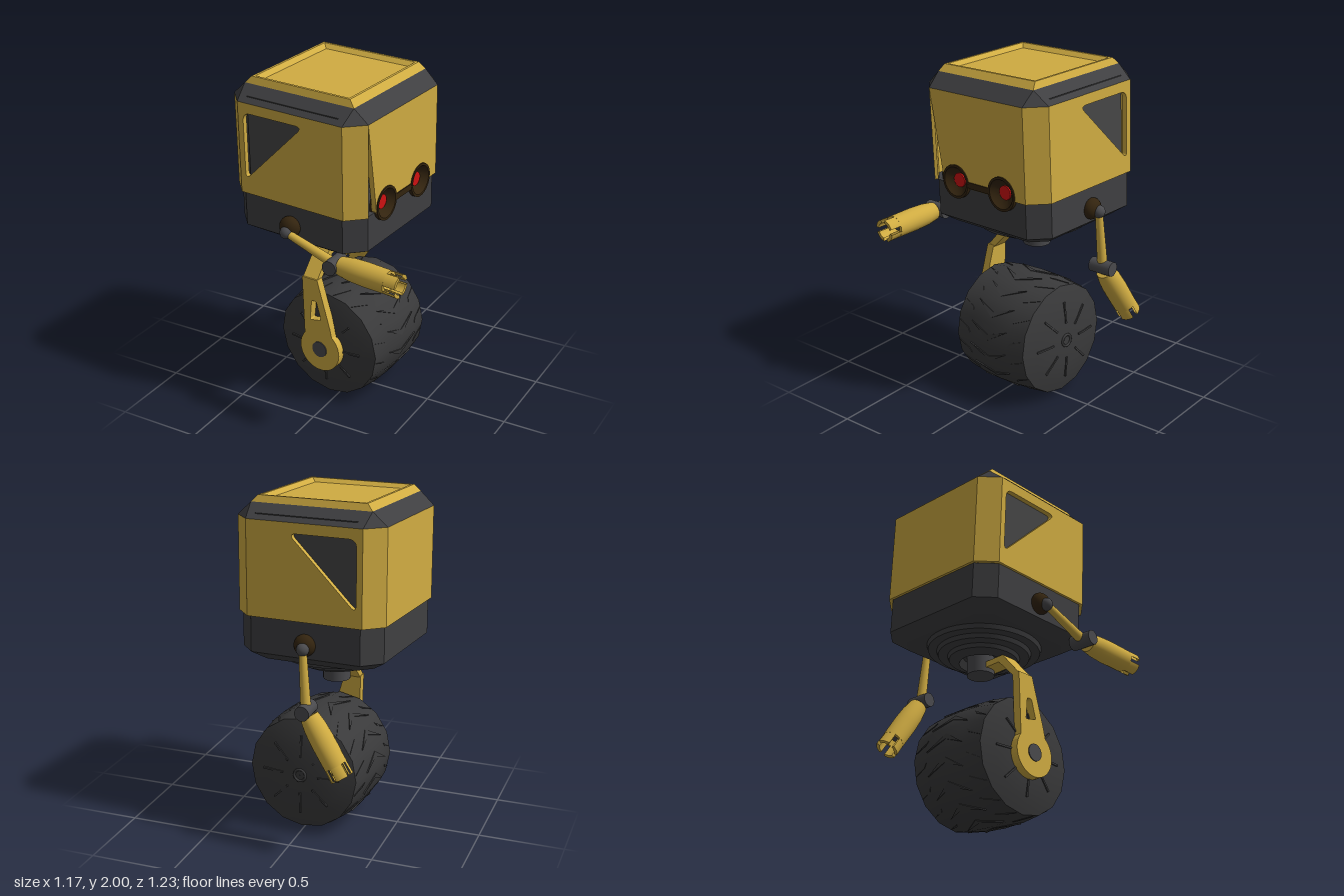
import * as THREE from 'three';
import { toCreasedNormals } from 'three/addons/utils/BufferGeometryUtils.js';

const mat = (name, color, side = THREE.FrontSide) => {
  const m = new THREE.MeshStandardMaterial({ color, side });
  m.name = name;
  return m;
};
const yellow = mat('yellow paint', 0xd0ac42, THREE.DoubleSide);
const dark = mat('dark panel', 0x3f3f41);
const tyre = mat('tyre rubber', 0x3a3a3b);
const steel = mat('grey joint', 0x4a4a4d);
const glass = mat('window grey', 0x464646);
const brown = mat('dark brown', 0x33240f);
const red = mat('red lens', 0xd01212);

function add(parent, name, geometry, material, x = 0, y = 0, z = 0) {
  const m = new THREE.Mesh(geometry, material);
  m.name = name;
  m.position.set(x, y, z);
  parent.add(m);
  return m;
}
const v2 = (list) => list.map(([x, y]) => new THREE.Vector2(x, y));
const lathe = (pts, seg = 32, start = 0, len = Math.PI * 2) =>
  toCreasedNormals(new THREE.LatheGeometry(v2(pts), seg, start, len), 0.5);
const extrude = (shape, depth) =>
  new THREE.ExtrudeGeometry(shape, { depth, bevelEnabled: false, curveSegments: 16 });

// Skin over chamfered rectangles, each [y, halfX, halfZ, chamfer], from bottom to top
function loft(sections) {
  const rings = sections.map(([y, a, b, c]) => [
    [a, c - b], [a, b - c], [a - c, b], [c - a, b], [-a, b - c], [-a, c - b], [c - a, -b], [a - c, -b],
  ].map(([x, z]) => [x, y, z]));
  const pos = [];
  for (let r = 0; r + 1 < rings.length; r++) {
    for (let i = 0; i < 8; i++) {
      const j = (i + 1) % 8, lo = rings[r], hi = rings[r + 1];
      pos.push(...lo[i], ...hi[i], ...lo[j], ...lo[j], ...hi[i], ...hi[j]);
    }
  }
  const g = new THREE.BufferGeometry();
  g.setAttribute('position', new THREE.Float32BufferAttribute(pos, 3));
  g.computeVertexNormals();
  return g;
}

// Closed path with rounded corners
function roundedPath(pts, r) {
  const p = v2(pts), path = new THREE.Path();
  p.forEach((c, i) => {
    const toward = (q) => c.clone().add(q.clone().sub(c).setLength(r));
    const a = toward(p[(i + p.length - 1) % p.length]), b = toward(p[(i + 1) % p.length]);
    if (i) path.lineTo(a.x, a.y); else path.moveTo(a.x, a.y);
    path.quadraticCurveTo(c.x, c.y, b.x, b.y);
  });
  path.closePath();
  return path;
}

const SEAM = 1.325, EYE_Y = 1.35, EYE_Z = 0.178, EYE_R = 0.1;

// Wall panel outline; eye notches are cut in the bottom or the top edge
function wallShape(w, y0, y1, notch) {
  const s = new THREE.Shape(), al = Math.asin((EYE_Y - SEAM) / EYE_R);
  s.moveTo(-w, y0);
  if (notch === 'bottom') for (const c of [-EYE_Z, EYE_Z]) s.absarc(c, EYE_Y, EYE_R, Math.PI + al, -al, true);
  s.lineTo(w, y0);
  s.lineTo(w, y1);
  if (notch === 'top') for (const c of [EYE_Z, -EYE_Z]) s.absarc(c, EYE_Y, EYE_R, -al, al - Math.PI, true);
  s.lineTo(-w, y1);
  s.closePath();
  return s;
}

// Four wall panels and four chamfered corners
function shell(parent, name, material, hx, hz, y0, y1, notch, windows) {
  const c = 0.1, t = 0.03;
  for (let k = 0; k < 4; k++) {
    const alongX = k % 2 === 0;
    const shape = wallShape((alongX ? hx : hz) - c, y0, y1, k === 1 ? notch : null);
    if (windows && alongX) {
      const s = k === 0 ? 1 : -1;
      shape.holes.push(roundedPath([[-0.31 * s, 1.81], [0.09 * s, 1.81], [-0.31 * s, 1.41]], 0.05));
    }
    const g = extrude(shape, t).translate(0, 0, (alongX ? hz : hx) - t);
    add(parent, name + 'Wall', g, material).rotation.y = k * Math.PI / 2;
  }
  for (const sx of [-1, 1]) for (const sz of [-1, 1]) {
    const g = new THREE.BoxGeometry(c * Math.SQRT2, y1 - y0, 0.02);
    add(parent, name + 'Corner', g, material, sx * (hx - c / 2 - 0.007), (y0 + y1) / 2, sz * (hz - c / 2 - 0.007))
      .rotation.y = sx * sz * Math.PI / 4 + (sz < 0 ? Math.PI : 0);
  }
}

function makeBody() {
  const tilt = new THREE.Group(), body = new THREE.Group();
  tilt.name = 'body';
  tilt.position.set(-0.11, 1.35, 0.005);
  tilt.rotation.set(0.035, -0.08, -0.015, 'YXZ');
  body.position.y = -1.35;
  tilt.add(body);
  shell(body, 'upper', yellow, 0.445, 0.455, SEAM, 1.87, 'bottom', true);
  shell(body, 'lower', dark, 0.43, 0.44, 1.115, SEAM, 'top', false);
  add(body, 'windowCore', loft([[1.11, 0.4, 0.425, 0.1], [1.9, 0.4, 0.425, 0.1]]), glass);
  add(body, 'upperLip', loft([[SEAM, 0.41, 0.42, 0.1], [SEAM, 0.4, 0.41, 0.1]]), dark);
  add(body, 'underside', loft([[1.06, 0, 0, 0], [1.06, 0.35, 0.36, 0.08], [1.115, 0.43, 0.44, 0.1]]), dark);
  add(body, 'roofBand', loft([[1.87, 0.445, 0.455, 0.1], [1.947, 0.36, 0.362, 0]]), dark);
  // Roof rim and its shallow tray
  add(body, 'roofTray', loft([[1.947, 0.36, 0.362, 0], [1.985, 0.325, 0.345, 0], [1.985, 0.31, 0.33, 0],
    [1.962, 0.28, 0.302, 0], [1.962, 0, 0, 0]]), yellow);
  // Stepped turntable underneath
  add(body, 'turntable', lathe([[0.001, 1.0], [0.12, 1.0], [0.14, 0.955], [0.2, 0.975], [0.21, 0.998],
    [0.265, 1.003], [0.275, 1.028], [0.325, 1.033], [0.335, 1.065]], 40), dark);
  // Dished eyes joined by a bar
  for (const s of [-1, 1]) {
    const eye = new THREE.Group();
    eye.name = 'eye';
    eye.position.set(0.4, EYE_Y, s * EYE_Z);
    eye.rotation.z = -Math.PI / 2;
    add(eye, 'eyeSocket', lathe([[0.1, -0.01], [0.1, 0.052], [0.086, 0.052], [0.07, 0.028], [0.045, 0.012], [0.001, 0.012]]), brown);
    add(eye, 'eyeLens', new THREE.CylinderGeometry(0.042, 0.042, 0.008, 28), red, 0, 0.016, 0);
    body.add(eye);
  }
  add(body, 'eyeBar', new THREE.BoxGeometry(0.03, 0.036, 0.18), brown, 0.436, EYE_Y - 0.002, 0);
  return tilt;
}

function makeWheel() {
  const wheel = new THREE.Group();
  wheel.name = 'wheel';
  wheel.position.set(-0.03, 0.361, -0.03);
  wheel.rotation.set(0.035, -0.08, 0, 'YXZ');
  const half = [[0.001, 0.307], [0.15, 0.302], [0.25, 0.288], [0.335, 0.264], [0.352, 0.14]];
  const profile = [...half.map(([r, z]) => [r, -z]), [0.358, 0], ...half.slice().reverse()];
  add(wheel, 'tyre', lathe(profile, 16).rotateX(Math.PI / 2), tyre);
  // Chevron treads
  const vee = extrude(new THREE.Shape(v2([[-0.14, 0.05], [0, -0.035], [0.14, 0.05], [0, 0.0]])), 0.01).rotateY(Math.PI / 2);
  const dash = extrude(new THREE.Shape(v2([[-0.05, -0.03], [0.055, 0.025], [-0.03, -0.005]])), 0.008).rotateY(Math.PI / 2);
  for (let k = 0; k < 16; k++) {
    const tread = new THREE.Group();
    tread.name = 'tread';
    tread.rotation.z = (k + 0.5) * Math.PI / 8;
    add(tread, 'chevron', vee, tyre, 0.344, 0, 0);
    for (const s of [-1, 1]) {
      const d = add(tread, 'treadDash', dash, tyre, 0.333, 0, s * 0.2);
      d.rotation.y = s * -0.12;
      d.scale.z = -s;
    }
    wheel.add(tread);
  }
  // Thin ribs on both discs
  for (const s of [-1, 1]) for (let k = 0; k < 8; k++) {
    const spin = new THREE.Group();
    spin.name = 'discRib';
    spin.rotation.z = k * Math.PI / 4;
    add(spin, 'rib', new THREE.BoxGeometry(0.13, 0.011, 0.012), tyre, 0.175, 0, s * 0.299).rotation.y = s * 0.1;
    wheel.add(spin);
  }
  add(wheel, 'hubRing', new THREE.TorusGeometry(0.035, 0.008, 8, 24), tyre, 0, 0, -0.308);
  return wheel;
}

function makeFork() {
  const fork = new THREE.Group();
  fork.name = 'fork';
  fork.rotation.y = -0.08;
  const plate = new THREE.Shape();
  plate.moveTo(-0.153, 0.8);
  plate.lineTo(-0.143, 0.5);
  plate.absarc(-0.035, 0.345, 0.137, Math.PI * 0.78, Math.PI * 2.28, false);
  plate.lineTo(0.04, 0.505);
  plate.lineTo(-0.047, 0.8);
  plate.closePath();
  plate.holes.push(roundedPath([[-0.088, 0.66], [-0.055, 0.66], [-0.022, 0.545], [-0.1, 0.53]], 0.012));
  add(fork, 'forkPlate', extrude(plate, 0.05), yellow, 0, 0, 0.272);
  const bend = new THREE.Shape(v2([[-0.02, 0.91], [0.16, 0.91], [0.272, 0.79], [0.322, 0.79], [0.19, 0.945], [-0.02, 0.945]]));
  add(fork, 'forkBend', extrude(bend, 0.1).rotateY(-Math.PI / 2), yellow, -0.05, 0, 0);
  add(fork, 'axleCap', new THREE.CylinderGeometry(0.05, 0.05, 0.14, 20).rotateX(Math.PI / 2), steel, -0.035, 0.348, 0.257);
  return fork;
}

// Arm from shoulder through elbow to finger tips, in model space
function makeArm(name, socket, shoulder, elbow, tip) {
  const arm = new THREE.Group();
  arm.name = name;
  const S = new THREE.Vector3(...shoulder), E = new THREE.Vector3(...elbow), T = new THREE.Vector3(...tip);
  const up = new THREE.Vector3(0, 1, 0);
  add(arm, 'shoulderSocket', new THREE.SphereGeometry(0.063, 20, 14), brown, ...socket).scale.z = 0.8;
  add(arm, 'shoulderBall', new THREE.SphereGeometry(0.037, 16, 12), steel, ...shoulder);
  const bar = add(arm, 'upperArm', new THREE.CylinderGeometry(0.03, 0.022, S.distanceTo(E), 16), yellow);
  bar.position.copy(S).lerp(E, 0.5);
  bar.quaternion.setFromUnitVectors(up, E.clone().sub(S).normalize());
  add(arm, 'elbow', new THREE.CylinderGeometry(0.043, 0.043, 0.14, 20).rotateX(Math.PI / 2), steel, ...elbow);
  const fore = new THREE.Group();
  fore.name = 'forearm';
  fore.position.copy(E);
  fore.quaternion.setFromUnitVectors(up, T.clone().sub(E).normalize());
  add(fore, 'sleeve', lathe([[0.001, 0.035], [0.054, 0.038], [0.065, 0.11], [0.069, 0.2], [0.067, 0.35],
    [0.05, 0.352], [0.046, 0.31], [0.001, 0.31]], 24), yellow);
  add(fore, 'palm', new THREE.CylinderGeometry(0.03, 0.03, 0.02, 16), steel, 0, 0.315, 0);
  for (let k = 0; k < 4; k++) {
    add(fore, 'finger', lathe([[0.066, 0.34], [0.068, 0.425], [0.048, 0.425], [0.048, 0.34]], 5, k * Math.PI / 2 + 0.25, 1.1), yellow);
  }
  arm.add(fore);
  return arm;
}

export function createModel() {
  const model = new THREE.Group();
  model.name = 'oneWheeledRobot';
  model.add(makeBody(), makeWheel(), makeFork());
  add(model, 'neckPin', new THREE.CylinderGeometry(0.08, 0.08, 0.13, 24), steel, -0.12, 0.95, -0.025);
  model.add(makeArm('frontArm', [-0.16, 1.178, 0.455], [-0.16, 1.16, 0.495], [0.16, 1.05, 0.508], [0.58, 1.035, 0.545]));
  model.add(makeArm('backArm', [-0.08, 1.21, -0.445], [-0.085, 1.2, -0.49], [-0.11, 0.858, -0.508], [-0.34, 0.5, -0.55]));
  return model;
}
